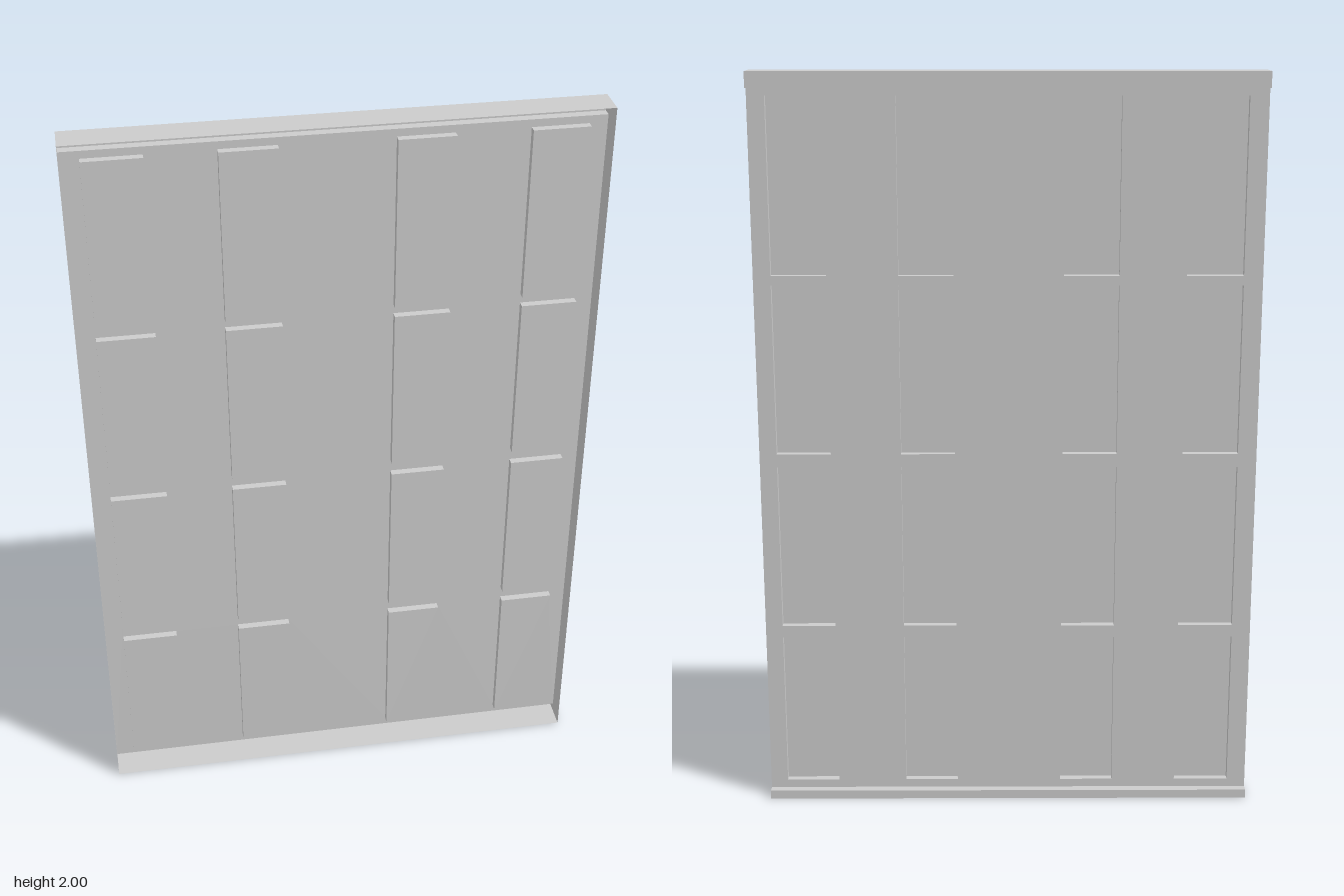
import * as THREE from 'three';

const material = new THREE.MeshStandardMaterial({ color: 0xcccccc, side: THREE.DoubleSide });

// Main dimensions of the pressed tray
const HALF_W = 0.666, HEIGHT = 2;
const FRONT = 0.042, SHEET = -0.018, BACK = -0.042, EMBOSS = 0.02;
const STEP_TOP = 1.958, STEP_BOTTOM = 0.024;

// Columns [x0, x1] and rows [y0, y1] of the pressed panels
const COLUMNS = [[-0.616, -0.467], [-0.291, -0.146], [0.142, 0.287], [0.475, 0.62]];
const ROWS = [[0.047, 0.473], [0.507, 0.959], [0.995, 1.451], [1.476, 1.938]];

function rectangle(PathType, x0, x1, y0, y1) {
  return new PathType([[x0, y0], [x1, y0], [x1, y1], [x0, y1]].map(([x, y]) => new THREE.Vector2(x, y)));
}

// Thin strip across the full width, swept between two (y, z) points
function strip(y0, z0, y1, z1) {
  const geometry = new THREE.PlaneGeometry(2 * HALF_W, 1);
  const pos = geometry.attributes.position;
  for (let i = 0; i < pos.count; i++) {
    const upper = pos.getY(i) > 0;
    pos.setY(i, upper ? y1 : y0);
    pos.setZ(i, upper ? z1 : z0);
  }
  geometry.computeVertexNormals();
  return geometry;
}

export function createModel() {
  const group = new THREE.Group();
  const add = (name, geometry, x = 0, y = 0, z = 0) => {
    const mesh = new THREE.Mesh(geometry, material);
    mesh.name = name;
    mesh.position.set(x, y, z);
    group.add(mesh);
    return mesh;
  };

  // Main sheet, open where the panels are pressed forward
  const sheet = rectangle(THREE.Shape, -HALF_W, HALF_W, STEP_BOTTOM, STEP_TOP);
  for (const [x0, x1] of COLUMNS) {
    for (const [y0, y1] of ROWS) {
      sheet.holes.push(rectangle(THREE.Path, x0, x1, y0, y1));

      // Pressed panel: a shallow box without its back face
      const box = new THREE.BoxGeometry(x1 - x0, y1 - y0, EMBOSS);
      box.setIndex(Array.from(box.index.array).slice(0, 30));
      box.clearGroups();
      add('pressedPanel', box, (x0 + x1) / 2, (y0 + y1) / 2, SHEET + EMBOSS / 2);
    }
  }
  add('mainSheet', new THREE.ShapeGeometry(sheet), 0, 0, SHEET);

  // Top and bottom edges: flange, set-back strip and the step up to the sheet
  for (const [side, edge, step] of [['top', HEIGHT, STEP_TOP], ['bottom', 0, STEP_BOTTOM]]) {
    add(side + 'Flange', strip(edge, FRONT, edge, BACK));
    add(side + 'Lip', strip(Math.min(edge, step), BACK, Math.max(edge, step), BACK));
    add(side + 'Step', strip(step, SHEET, step, BACK));
  }

  // Side flanges, following the lips at both ends
  const profile = new THREE.Shape([
    [FRONT, 0], [FRONT, HEIGHT], [BACK, HEIGHT], [BACK, STEP_TOP],
    [SHEET, STEP_TOP], [SHEET, STEP_BOTTOM], [BACK, STEP_BOTTOM], [BACK, 0],
  ].map(([z, y]) => new THREE.Vector2(-z, y)));
  for (const [name, x] of [['leftFlange', HALF_W], ['rightFlange', -HALF_W]]) {
    add(name, new THREE.ShapeGeometry(profile), x).rotation.y = Math.PI / 2;
  }

  return group;
}
